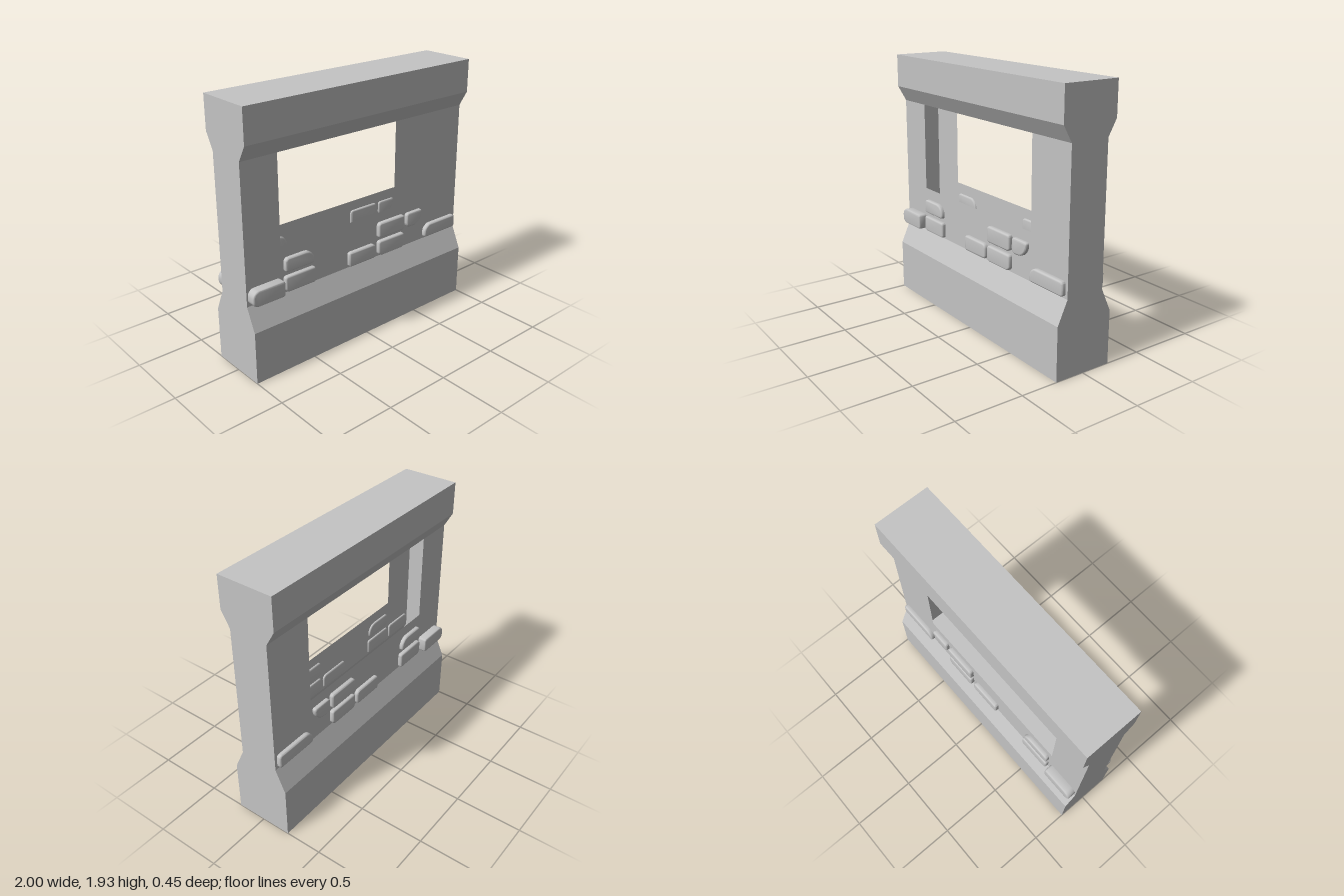
import * as THREE from 'three';
import { toCreasedNormals } from 'three/addons/utils/BufferGeometryUtils.js';

const stone = new THREE.MeshStandardMaterial({ color: 0xc4c4c4, side: THREE.DoubleSide });
stone.name = 'stone grey';

// Wall section on the front half: [z, y] from the ground up
const PROFILE = [[0.224, 0], [0.224, 0.39], [0.148, 0.557], [0.148, 1.565], [0.214, 1.68], [0.214, 1.926]];
const BAND_NAMES = ['plinth', 'plinthSlope', null, 'corniceSlope', 'cornice'];
const OPENING = { left: -0.715, right: 0.62, bottom: 0.904 };

// Raised bricks: x0, x1, y0, y1, front z, corner radii [top left, top right, bottom right, bottom left]
const BRICKS = [
  [-0.99, -0.727, 0.567, 0.684, 0.214, [0.05, 0.02, 0.02, 0.045]],
  [-0.70, -0.44, 0.567, 0.684, 0.18, [0.02, 0.015, 0.015, 0.035]],
  [-0.695, -0.45, 0.717, 0.82, 0.178, [0.03, 0.075, 0.02, 0.02]],
  [-0.13, 0.128, 0.568, 0.68, 0.178, [0.02, 0.035, 0.025, 0.02]],
  [0.155, 0.417, 0.567, 0.684, 0.18, [0.02, 0.02, 0.035, 0.035]],
  [0.155, 0.417, 0.711, 0.829, 0.18, [0.025, 0.02, 0.025, 0.02]],
  [0.443, 0.603, 0.713, 0.825, 0.178, [0.02, 0.015, 0.095, 0.035]],
  [0.64, 0.979, 0.572, 0.676, 0.18, [0.07, 0.025, 0.02, 0.02]],
];

function add(parent, name, geometry) {
  const mesh = new THREE.Mesh(geometry, stone);
  mesh.name = name;
  parent.add(mesh);
  return mesh;
}

const polygon = (points) => new THREE.Shape(points.map(([x, y]) => new THREE.Vector2(x, y)));

// Rectangle with a separate radius on each corner; s = -1 mirrors it in x
function brickShape(x0, x1, y0, y1, radii, s) {
  const pts = [];
  const corners = [[x0, y1, 1, -1], [x1, y1, -1, -1], [x1, y0, -1, 1], [x0, y0, 1, 1]];
  corners.forEach(([x, y, dx, dy], i) => {
    const r = radii[i];
    const start = [Math.PI, Math.PI / 2, 0, -Math.PI / 2][i];
    for (let k = 0; k <= 6; k++) {
      const a = start - (k / 6) * Math.PI / 2;
      pts.push([s * (x + dx * r + Math.cos(a) * r), y + dy * r + Math.sin(a) * r]);
    }
  });
  return polygon(pts);
}

function brickGeometry([x0, x1, y0, y1, z, radii], s) {
  const b = 0.012, back = 0.135;
  const shape = brickShape(x0 + b, x1 - b, y0 + b, y1 - b, radii.map((r) => Math.max(r - b, 0.004)), s);
  const geometry = new THREE.ExtrudeGeometry(shape, {
    depth: z - back - 2 * b, bevelEnabled: true, bevelSize: b, bevelThickness: b, bevelSegments: 3,
  });
  geometry.translate(0, 0, back + b);
  return toCreasedNormals(geometry, 0.6);
}

// One long side of the wall; s = 1 front, s = -1 back (mirrored in z)
function wallSide(s) {
  const side = new THREE.Group();
  side.name = s > 0 ? 'frontSide' : 'backSide';
  BAND_NAMES.forEach((name, i) => {
    if (!name) return;
    const [z0, y0] = PROFILE[i], [z1, y1] = PROFILE[i + 1];
    const band = add(side, name, new THREE.PlaneGeometry(2, Math.hypot(y1 - y0, z1 - z0)));
    band.position.set(0, (y0 + y1) / 2, (z0 + z1) / 2);
    band.rotation.x = Math.atan2(z1 - z0, y1 - y0);
  });

  // Thin wall skin around the window opening, without reveals
  const [z, low] = PROFILE[2], high = PROFILE[3][1];
  const { left, right, bottom } = OPENING;
  const outline = [[-1, low], [1, low], [1, high], [right, high], [right, bottom],
    [left, bottom], [left, high], [-1, high]].map(([x, y]) => [x * s, y]);
  add(side, 'windowWall', new THREE.ShapeGeometry(polygon(outline))).position.z = z;

  BRICKS.forEach((b) => add(side, 'brick', brickGeometry(b, s)));
  if (s < 0) side.rotation.y = Math.PI;
  return side;
}

export function createModel() {
  const model = new THREE.Group();
  model.name = 'windowWallSection';
  model.add(wallSide(1), wallSide(-1));

  // End faces
  const section = [...PROFILE, ...PROFILE.map(([z, y]) => [-z, y]).reverse()];
  for (const s of [-1, 1]) {
    const end = add(model, s > 0 ? 'leftEnd' : 'rightEnd', new THREE.ShapeGeometry(polygon(section)));
    end.rotation.y = s * Math.PI / 2;
    end.position.x = s;
  }

  // Top and underside
  const top = add(model, 'top', new THREE.PlaneGeometry(2, 0.428));
  top.rotation.x = -Math.PI / 2;
  top.position.y = 1.926;
  add(model, 'underside', new THREE.PlaneGeometry(2, 0.448)).rotation.x = Math.PI / 2;
  return model;
}
